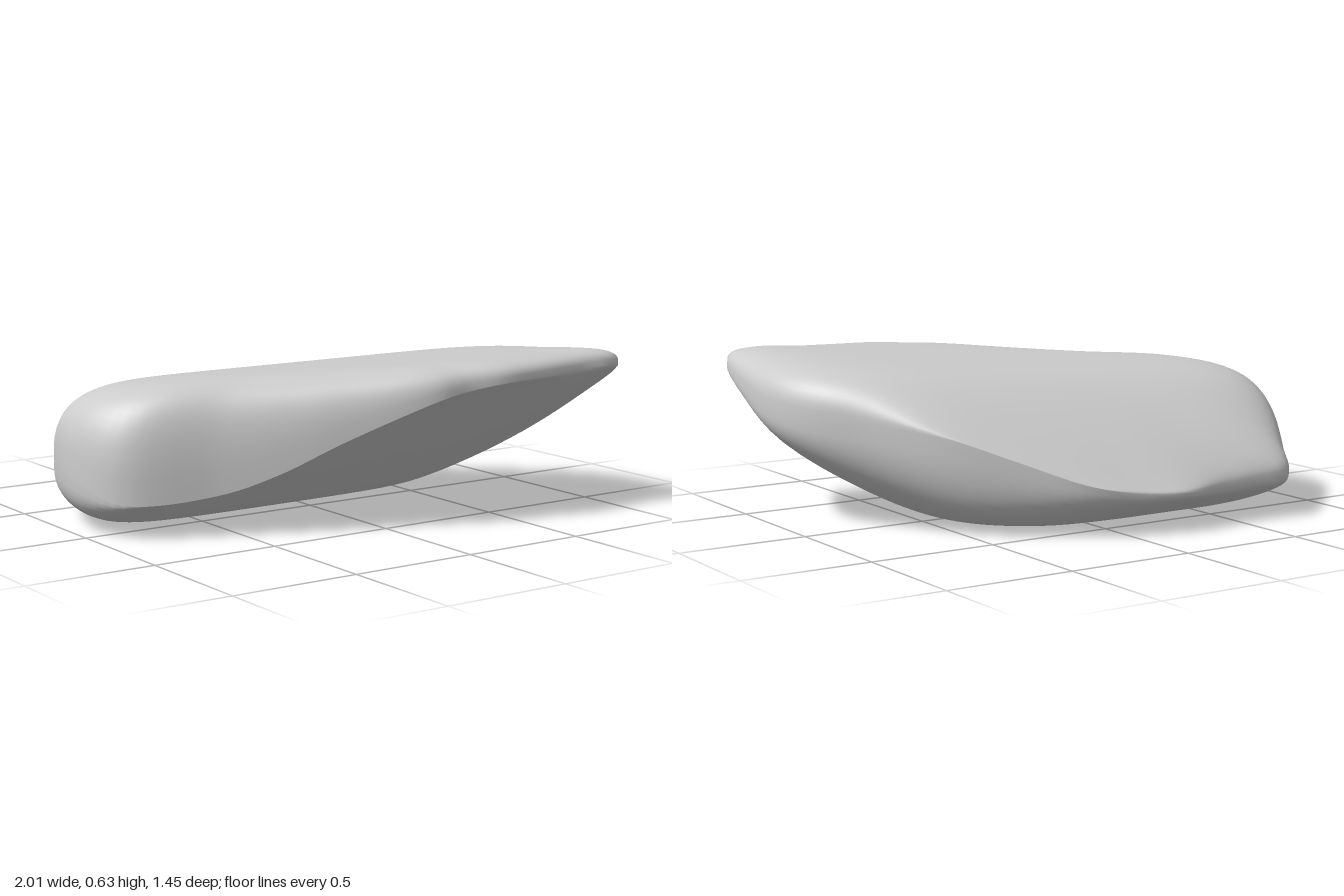
import * as THREE from 'three';

// Widest outline of the stone (x, y, z), clockwise seen from above
const RIM = [
  [-0.72, 0.18, -0.70], [-0.58, 0.17, -0.70], [-0.40, 0.16, -0.70], [-0.20, 0.165, -0.73], [0.00, 0.18, -0.69],
  [0.18, 0.22, -0.64], [0.40, 0.31, -0.49], [0.60, 0.39, -0.32], [0.80, 0.42, -0.07],
  [0.93, 0.43, 0.10], [0.99, 0.45, 0.25], [0.995, 0.50, 0.50], [0.96, 0.59, 0.715],
  [0.80, 0.58, 0.70], [0.60, 0.57, 0.71], [0.38, 0.56, 0.72], [0.25, 0.54, 0.68], [0.12, 0.51, 0.665],
  [-0.20, 0.36, 0.50], [-0.40, 0.25, 0.39], [-0.60, 0.175, 0.28], [-0.92, 0.15, 0.12],
  [-1.00, 0.22, -0.05], [-0.995, 0.25, -0.20], [-0.92, 0.23, -0.40], [-0.80, 0.19, -0.59],
];

// Rounded maximum and minimum blend neighbouring faces of the stone
const softMax = (a, b, k) => (a + b + Math.hypot(a - b, k)) / 2;
const softMin = (a, b, k) => -softMax(-a, -b, k);

// Upper face: nearly level, curving down towards the back and right
const topHeight = (x, z) => softMin(
  0.612 + 0.03 * x + 0.02 * z + 0.04 * z * z,
  0.56 + (z + 0.25) * 0.8 - 0.12 * x, 0.12);

// Underside: flat base, rising steeply to the front, gently to the back and the right
function baseHeight(x, z) {
  let y = softMax(0, z * 0.76, 0.07);
  y = softMax(y, (x - 0.5) * 0.55, 0.06);
  return softMax(y, (-z - 0.42) * 0.36, 0.05);
}

function stoneGeometry(columns = 120, rings = 28) {
  const curve = new THREE.CatmullRomCurve3(
    RIM.map((p) => new THREE.Vector3(...p)), true, 'centripetal');
  const rim = curve.getSpacedPoints(columns).slice(0, columns);
  const positions = [];
  const index = [];
  // Rows run from the top centre out to the rim and back in to the base centre
  for (let i = 0; i <= 2 * rings; i++) {
    const above = i <= rings;
    const t = Math.sin((Math.PI / 2) * (above ? i : 2 * rings - i) / rings);
    const swell = Math.cbrt(Math.max(0, 1 - t ** (above ? 8 : 7)));
    for (const p of rim) {
      const x = p.x * t;
      const z = p.z * t;
      const face = above
        ? Math.max(topHeight(x, z), p.y * t)
        : Math.min(baseHeight(x, z), p.y);
      positions.push(x, p.y + (face - p.y) * swell, z);
    }
  }
  for (let i = 0; i < 2 * rings; i++) {
    for (let j = 0; j < columns; j++) {
      const k = (j + 1) % columns;
      const a = i * columns + j, b = i * columns + k;
      const c = a + columns, d = b + columns;
      if (i > 0) index.push(a, b, c);
      if (i < 2 * rings - 1) index.push(b, d, c);
    }
  }
  const geometry = new THREE.BufferGeometry();
  geometry.setAttribute('position', new THREE.Float32BufferAttribute(positions, 3));
  geometry.setIndex(index);
  // Rest the stone on the ground
  geometry.computeBoundingBox();
  geometry.translate(0, -geometry.boundingBox.min.y, 0);
  geometry.computeVertexNormals();
  return geometry;
}

export function createModel() {
  const group = new THREE.Group();
  group.name = 'rock';
  const stone = new THREE.Mesh(
    stoneGeometry(), new THREE.MeshStandardMaterial({ color: 0xcccccc }));
  stone.name = 'stone';
  group.add(stone);
  return group;
}
